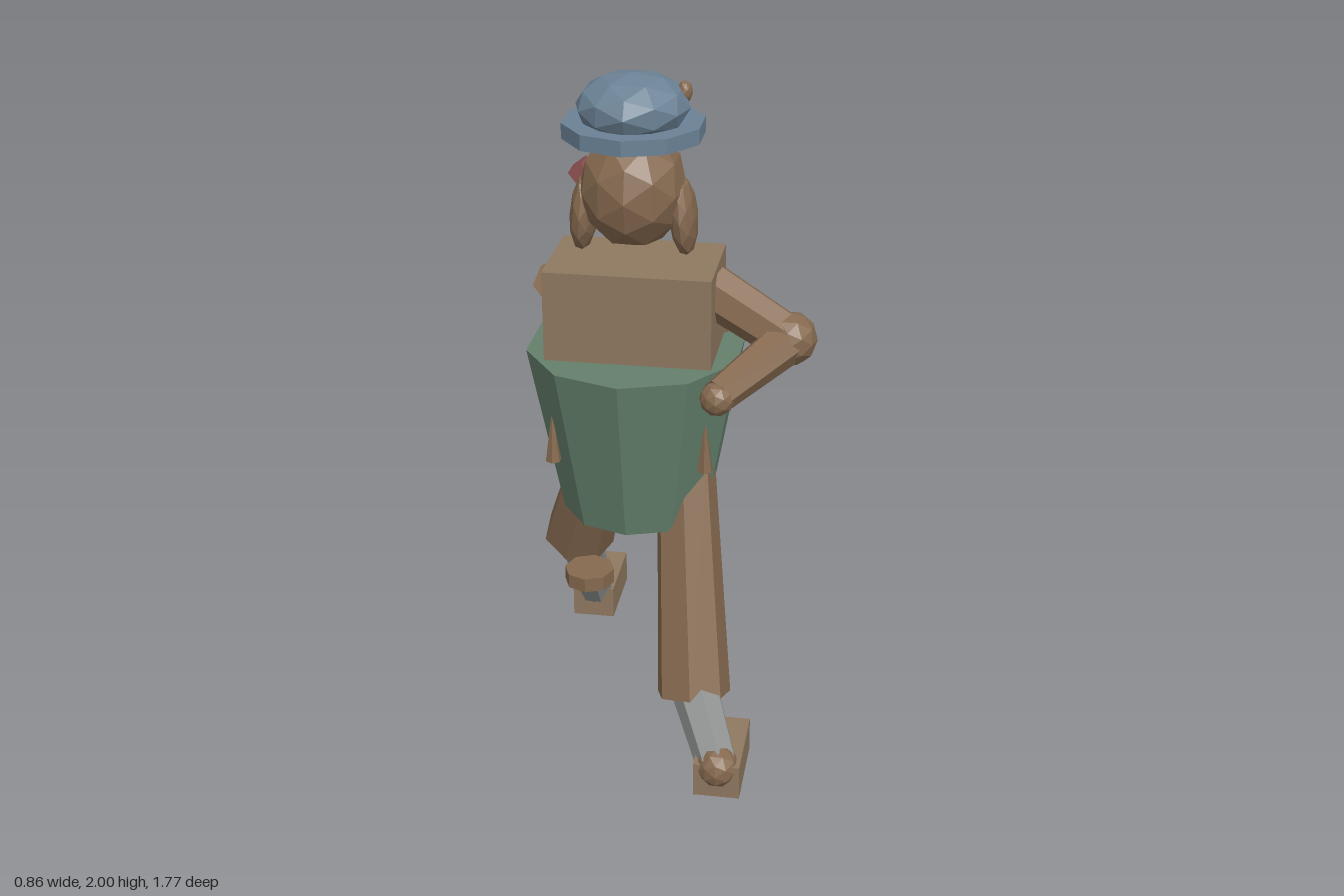
import * as THREE from 'three';

const mat = (name, color) => {
  const m = new THREE.MeshStandardMaterial({ color, flatShading: true });
  m.name = name;
  return m;
};

export function createModel() {
  const g = new THREE.Group();
  g.name = 'soldierFigure';
  const tan = mat('tan', 0x8f7860);
  const brown = mat('brown', 0x85694f);
  const green = mat('green', 0x64806c);
  const hatBlue = mat('hatBlue', 0x6b8295);
  const grey = mat('grey', 0x8f9291);
  const pale = mat('pale', 0xc9c4b8);
  const red = mat('red', 0x8c5150);
  const steel = mat('steel', 0x526678);

  const V = (a) => new THREE.Vector3(...a);
  const add = (name, geo, m, p = [0, 0, 0]) => {
    const mesh = new THREE.Mesh(geo, m);
    mesh.name = name;
    mesh.position.set(...p);
    g.add(mesh);
    return mesh;
  };
  const box = (name, m, size, p) => add(name, new THREE.BoxGeometry(...size), m, p);
  const ball = (name, m, p, r) => {
    const mesh = add(name, new THREE.IcosahedronGeometry(1, 1), m, p);
    Array.isArray(r) ? mesh.scale.set(...r) : mesh.scale.setScalar(r);
    return mesh;
  };
  // Tapered rod from a (radius ra) to b (radius rb)
  const rod = (name, m, a, b, ra, rb, sides = 7) => {
    const A = V(a), B = V(b), d = B.clone().sub(A);
    const mesh = add(name, new THREE.CylinderGeometry(rb, ra, d.length(), sides), m);
    mesh.position.copy(A).add(B).multiplyScalar(0.5);
    mesh.quaternion.setFromUnitVectors(new THREE.Vector3(0, 1, 0), d.normalize());
    return mesh;
  };

  const cx = -0.1, cz = 0.305;

  // Torso and coat skirt
  box('torso', tan, [0.485, 0.33, 0.305], [cx, 1.285, 0.315]);
  add('coatSkirt', new THREE.CylinderGeometry(0.325, 0.225, 0.52, 10), green, [cx, 0.92, cz]);
  for (const sx of [-1, 1]) for (const sz of [-1, 1]) {
    add('skirtSpike', new THREE.ConeGeometry(0.024, 0.17, 6), brown,
      [cx + sx * 0.225, 0.94, 0.32 + sz * 0.14]);
  }

  // Hanging ribbons
  [[0.09, steel], [0, red], [-0.2, steel], [-0.3, red]].forEach(([x, m]) =>
    box('ribbon', m, [0.022, 0.49, 0.014], [x, 0.925, 0.022]));

  // Chest plate and diagonal sash with studs
  box('chestPlate', pale, [0.33, 0.17, 0.035], [cx, 1.345, 0.138]);
  const s0 = V([-0.305, 1.66, 0.125]), s1 = V([0.05, 1.2, 0.125]);
  const d = s1.clone().sub(s0);
  const sash = box('sash', red, [0.05, d.length(), 0.08], s0.clone().add(s1).multiplyScalar(0.5).toArray());
  sash.rotation.z = Math.atan2(-d.x, d.y) + Math.PI;
  for (let i = 0; i < 4; i++) {
    const p = s0.clone().lerp(s1, 0.12 + i * 0.3);
    ball('sashStud', brown, [p.x, p.y, 0.085], [0.03, 0.04, 0.02]);
  }

  // Head, ears and muzzle
  ball('head', brown, [cx, 1.67, 0.33], [0.155, 0.175, 0.165]);
  for (const s of [-1, 1]) {
    const ear = ball('ear', brown, [cx + s * 0.143, 1.59, 0.328], [0.04, 0.117, 0.086]);
    ear.rotation.z = s * 0.08;
  }
  ball('muzzle', brown, [cx, 1.59, 0.205], [0.07, 0.04, 0.055]);
  ball('chin', brown, [cx, 1.52, 0.225], 0.028);

  // Cap
  add('capBrim', new THREE.CylinderGeometry(0.204, 0.204, 0.045, 10), hatBlue, [cx, 1.84, 0.315]);
  ball('capDome', hatBlue, [cx, 1.905, 0.32], [0.163, 0.095, 0.163]);
  ball('capBadge', brown, [0.04, 1.94, 0.285], [0.022, 0.032, 0.026]);

  // Left arm, hand on hip
  rod('leftUpperArm', brown, [0.12, 1.37, 0.315], [0.355, 1.25, 0.37], 0.078, 0.07);
  ball('leftElbow', brown, [0.355, 1.25, 0.365], 0.08);
  rod('leftForearm', brown, [0.355, 1.25, 0.37], [0.18, 1.16, 0.59], 0.068, 0.05);
  ball('leftHand', brown, [0.178, 1.155, 0.597], 0.05);

  // Right arm, reaching to the rifle
  rod('rightUpperArm', brown, [-0.335, 1.37, 0.3], [-0.25, 1.14, 0.14], 0.078, 0.065);
  rod('rightForearm', brown, [-0.22, 1.155, 0.11], [-0.04, 1.22, -0.23], 0.06, 0.045);
  ball('rightHand', pale, [-0.042, 1.22, -0.24], 0.056);

  // Rifle, placed by depth along its line
  const onRifle = (z) => [0.053 + 0.277 * z, 1.194 - 0.085 * z, z];
  rod('rifleBarrel', steel, onRifle(-0.1), onRifle(-0.85), 0.02, 0.018, 8);
  rod('rifleMuzzle', grey, onRifle(-0.82), onRifle(-0.88), 0.026, 0.026, 8);
  rod('rifleCollar', steel, onRifle(-0.08), onRifle(-0.17), 0.027, 0.027, 8);
  rod('rifleStock', brown, onRifle(0.2), onRifle(-0.08), 0.055, 0.042, 6);

  // Legs
  const leg = (side, hip, knee, shinTop, ankle, ballR, foot) => {
    rod(side + 'Thigh', brown, hip, knee, 0.088, 0.112);
    rod(side + 'Shin', grey, shinTop, ankle, 0.074, 0.06);
    ball(side + 'Ankle', brown, ankle, ballR);
    box(side + 'Foot', tan, [0.135, 0.105, 0.25], foot);
  };
  leg('left', [0.05, 0.85, 0.35], [0.11, 0.165, 0.58], [0.11, 0.19, 0.57], [0.217, 0.085, 0.82],
    0.062, [0.217, 0.0525, 0.728]);
  leg('right', [-0.22, 0.8, 0.285], [-0.328, 0.42, 0.125], [-0.33, 0.45, 0.14], [-0.327, 0.08, -0.115],
    0.056, [-0.327, 0.0525, -0.193]);

  // Knee discs
  for (const x of [-0.257, 0.045]) {
    add('kneeDisc', new THREE.CylinderGeometry(0.077, 0.077, 0.045, 8), brown, [x, 0.388, 0.31]);
  }
  return g;
}
